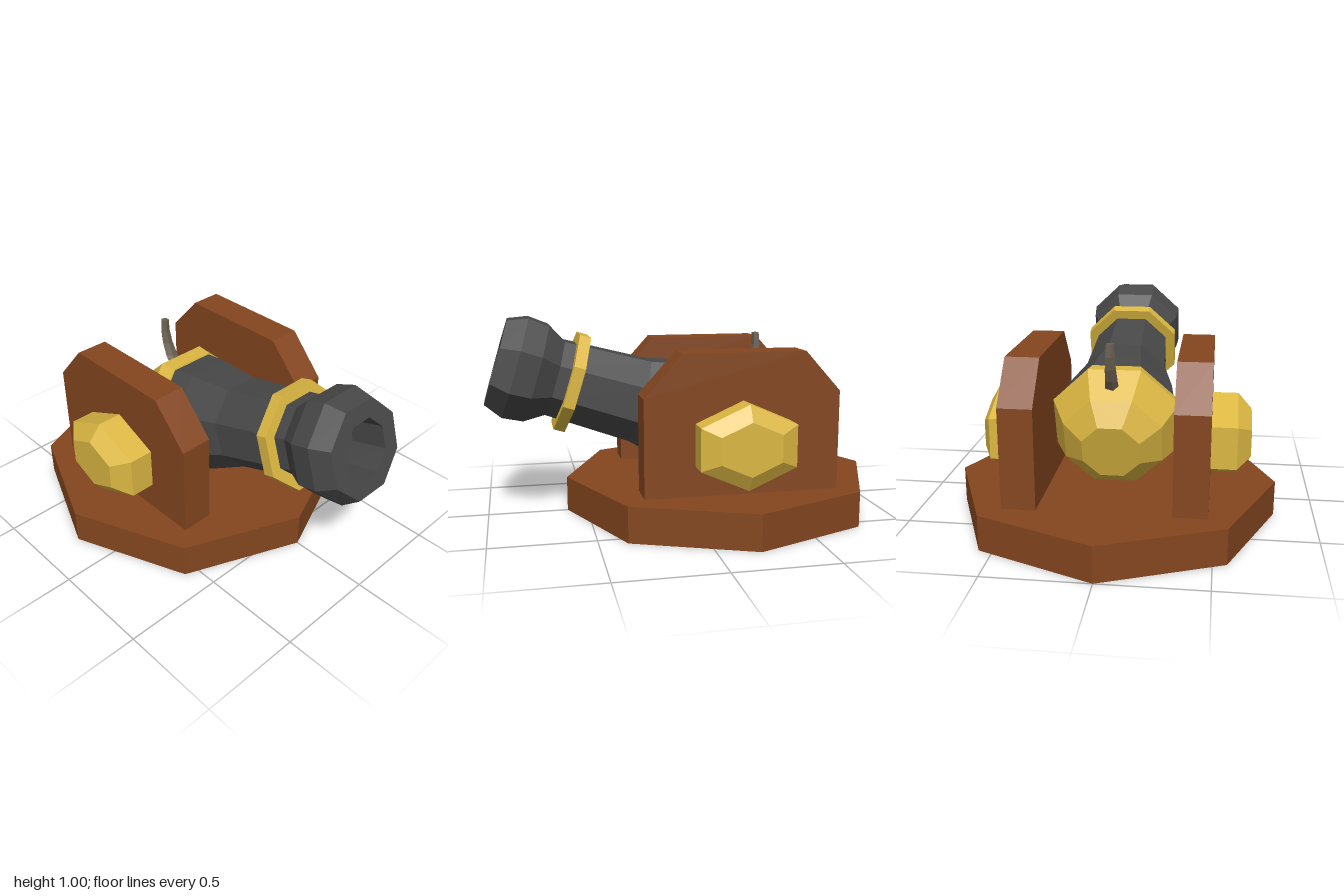
import * as THREE from 'three';

const mat = (color) => new THREE.MeshStandardMaterial({ color, flatShading: true });

export function createModel() {
  const wood = mat(0x84461f), gold = mat(0xdcb742), iron = mat(0x484848), cord = mat(0x6b6152);
  const model = new THREE.Group();
  model.name = 'cannon';

  const add = (parent, name, geometry, material) => {
    const mesh = new THREE.Mesh(geometry, material);
    mesh.name = name;
    parent.add(mesh);
    return mesh;
  };
  // Octagonal turned part: profile of [distance to flat, position along axis]
  const turned = (profile) => new THREE.LatheGeometry(
    profile.map(([r, t]) => new THREE.Vector2(r / Math.cos(Math.PI / 8), t)), 8, Math.PI / 8);

  // Octagonal base
  const base = add(model, 'base', new THREE.CylinderGeometry(0.8, 0.8, 0.175, 8), wood);
  base.position.set(-0.2, 0.0875, 0);

  // Side cheeks with chamfered tops
  const outline = new THREE.Shape([
    [-0.68, 0.17], [0.275, 0.17], [0.275, 0.65], [0.09, 0.855], [-0.505, 0.855], [-0.68, 0.66],
  ].map(([x, y]) => new THREE.Vector2(x, y)));
  const cheek = new THREE.ExtrudeGeometry(outline, { depth: 0.163, bevelEnabled: false });
  add(model, 'leftCheek', cheek, wood).position.z = 0.314;
  add(model, 'rightCheek', cheek, wood).position.z = -0.477;

  // Hexagonal trunnion caps, chamfered at the outer end
  const cap = (name, side, shoulder, end, size) => {
    const profile = [[0, 0.45], [1, 0.45], [1, shoulder], [0.63, end], [0, end]];
    const g = new THREE.LatheGeometry(profile.map(([r, t]) => new THREE.Vector2(r, t)), 6);
    g.rotateX(Math.PI / 2);
    g.scale(0.271 * size, 0.207 * size, 1);
    if (side < 0) g.rotateY(Math.PI);
    add(model, name, g, gold).position.set(-0.2, 0.425, 0);
  };
  cap('frontTrunnionCap', 1, 0.6, 0.667, 1);
  cap('backTrunnionCap', -1, 0.59, 0.635, 0.985);

  // Tilted barrel assembly, axis along local y
  const gun = new THREE.Group();
  gun.name = 'gun';
  gun.position.set(-0.2, 0.44, 0);
  gun.rotation.z = 0.297 - Math.PI / 2;
  model.add(gun);
  add(gun, 'breech', turned([
    [0, -0.225], [0.14, -0.225], [0.24, -0.14], [0.315, 0.02], [0.29, 0.1], [0, 0.1],
  ]), gold);
  // Barrel with flared muzzle and hollow bore
  add(gun, 'barrel', turned([
    [0.284, 0.09], [0.265, 0.22], [0.21, 0.45], [0.188, 0.89], [0.242, 0.985],
    [0.251, 1.09], [0.213, 1.186], [0.132, 1.186], [0.132, 1.0], [0, 1.0],
  ]), iron);
  add(gun, 'barrelBand', turned([
    [0.18, 0.775], [0.243, 0.775], [0.243, 0.832], [0.18, 0.832],
  ]), gold);

  // Bent, tapering fuse
  const fuse = new THREE.CylinderGeometry(0.02, 0.036, 0.25, 5, 4);
  const p = fuse.attributes.position;
  for (let i = 0; i < p.count; i++) {
    const k = p.getY(i) / 0.25 + 0.5;
    p.setX(i, p.getX(i) - 0.1 * k * (2 - k) + 0.02 * k * k);
  }
  fuse.computeVertexNormals();
  add(model, 'fuse', fuse, cord).position.set(-0.32, 0.78, -0.005);

  return model;
}
